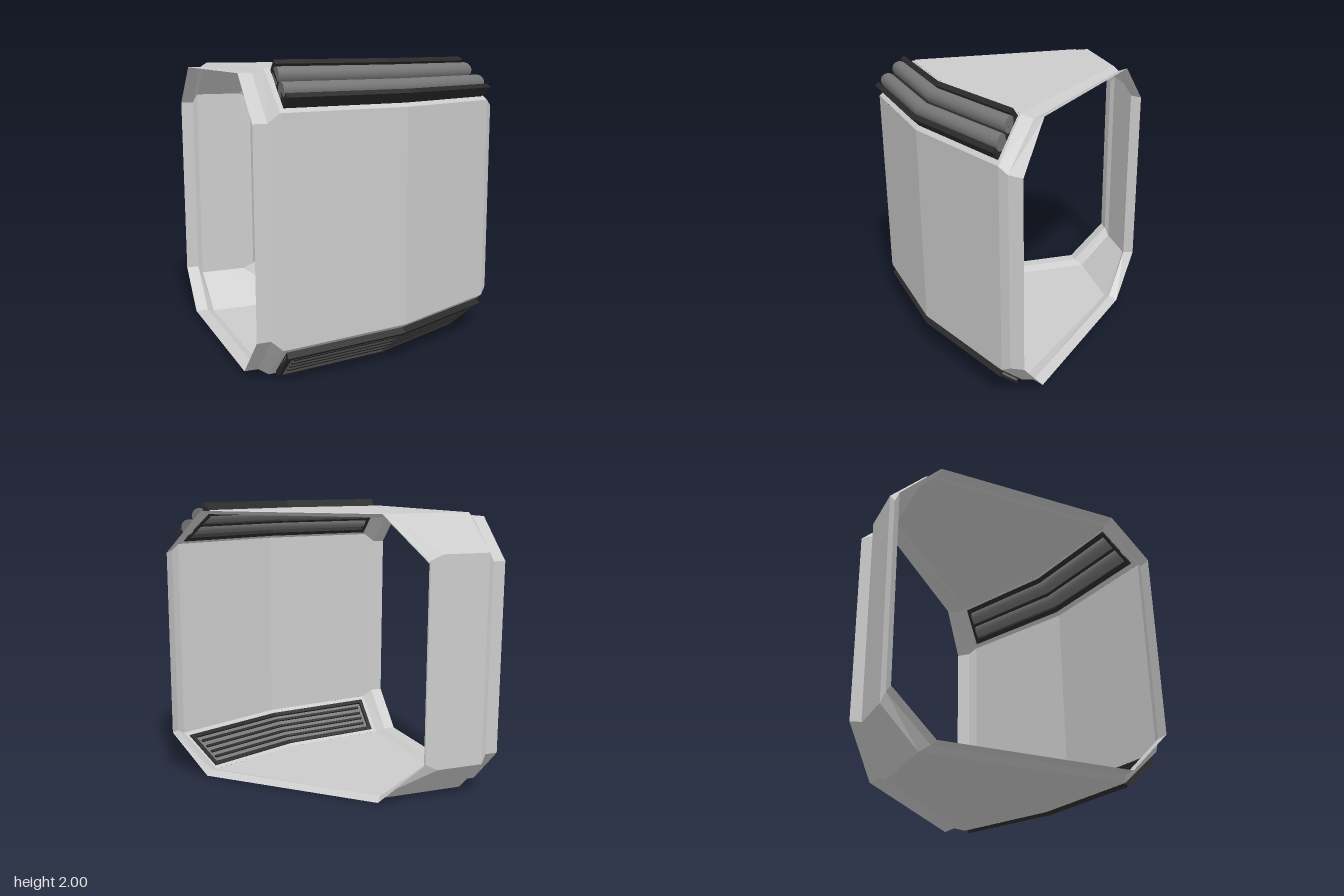
import * as THREE from 'three';
import { toCreasedNormals } from 'three/addons/utils/BufferGeometryUtils.js';

const MID = 0.98; // height of the horizontal symmetry plane

// Builds a mesh from a list of quads / triangles (arrays of Vector3)
function facesMesh(name, faces, color, crease = 0) {
  const pos = [];
  for (const f of faces)
    for (let i = 1; i < f.length - 1; i++)
      for (const p of [f[0], f[i], f[i + 1]]) pos.push(p.x, p.y, p.z);
  let geo = new THREE.BufferGeometry();
  geo.setAttribute('position', new THREE.Float32BufferAttribute(pos, 3));
  geo.computeVertexNormals();
  if (crease) geo = toCreasedNormals(geo, crease);
  const mat = new THREE.MeshStandardMaterial({ color, side: THREE.DoubleSide, flatShading: !crease });
  const mesh = new THREE.Mesh(geo, mat);
  mesh.name = name;
  return mesh;
}

// Octagonal sections: plan points [x, z] of the front wall, front roof edge,
// back roof edge and back wall, then half heights of roof and wall
const SECTIONS = [
  [[-1, 0.94], [-1, 0.66], [-1, -0.65], [-1, -0.93], 0.94, 0.66],
  [[-0.91, 0.94], [-0.91, 0.66], [-0.91, -0.65], [-0.91, -0.93], 0.94, 0.66],
  [[-0.84, 0.97], [-0.85, 0.7], [-0.85, -0.7], [-0.87, -0.95], 0.97, 0.72],
  [[0.06, 0.83], [-0.04, 0.58], [-0.56, -0.7], [-0.7, -0.95], 0.97, 0.72],
  [[0.88, 0.465], [0.68, 0.27], [-0.28, -0.7], [-0.53, -0.95], 0.97, 0.72],
  [[0.935, 0.42], [0.735, 0.205], [-0.22, -0.72], [-0.45, -0.925], 0.945, 0.68],
  [[0.99, 0.34], [0.78, 0.15], [-0.18, -0.77], [-0.405, -0.99], 0.97, 0.67],
];

function sectionLoop([f, ft, bt, b, roof, wall]) {
  const v = ([x, z], y) => new THREE.Vector3(x, MID + y, z);
  return [v(f, wall), v(ft, roof), v(bt, roof), v(b, wall),
    v(b, -wall), v(bt, -roof), v(ft, -roof), v(f, -wall)];
}

// Stations along the front bevel: wall edge, roof edge, outward direction
const STATIONS = [
  { f: [-0.81, 0.965], t: [-0.81, 0.695], n: [0, 1] },
  { f: [0.06, 0.83], t: [-0.04, 0.58], n: [0.27, 0.96] },
  { f: [0.86, 0.475], t: [0.665, 0.277], n: [0.725, 0.69] },
];

// Point on the front bevel: u along it (0..2), s from wall to roof, h outward
function bevelPoint(u, s, h, side) {
  const i = Math.min(1, Math.floor(u)), w = u - i;
  const at = (st) => new THREE.Vector3(
    st.f[0] + (st.t[0] - st.f[0]) * s + st.n[0] * h * 0.7,
    MID + side * (0.72 + 0.25 * s + h * 0.72),
    st.f[1] + (st.t[1] - st.f[1]) * s + st.n[1] * h * 0.7);
  return at(STATIONS[i]).lerp(at(STATIONS[i + 1]), w);
}

// Bar with an [s, h] cross-section swept along the bevel, with end caps
function bevelBar(name, profile, color, side, us = [0, 1, 2], crease = 0) {
  const rings = us.map((u) => profile.map(([s, h]) => bevelPoint(u, s, h, side)));
  const faces = [];
  const n = profile.length;
  for (let j = 0; j < rings.length - 1; j++)
    for (let k = 0; k < n; k++) {
      const k2 = (k + 1) % n;
      faces.push([rings[j][k], rings[j][k2], rings[j + 1][k2], rings[j + 1][k]]);
    }
  faces.push([...rings[0]].reverse(), rings[rings.length - 1]);
  if (side < 0) faces.forEach((f) => f.reverse());
  return facesMesh(name, faces, color, crease);
}

const rect = (s0, s1, h0, h1) => [[s0, h0], [s1, h0], [s1, h1], [s0, h1]];

function circle(s, h, r, sides = 14) {
  return Array.from({ length: sides }, (_, i) => {
    const a = (i / sides) * Math.PI * 2;
    return [s + (Math.cos(a) * r) / 0.36, h + Math.sin(a) * r];
  });
}

export function createModel() {
  const model = new THREE.Group();
  const GREY = 0xcccccc, DARK = 0x2a2a2a, STEEL = 0x777777;

  // Shell with its end collars; the front bevels are left out
  const loops = SECTIONS.map(sectionLoop);
  const shell = [];
  for (let j = 0; j < loops.length - 1; j++)
    for (let k = 0; k < 8; k++) {
      if ((j === 2 || j === 3) && (k === 0 || k === 6)) continue;
      const k2 = (k + 1) % 8;
      shell.push([loops[j][k], loops[j + 1][k], loops[j + 1][k2], loops[j][k2]]);
    }
  model.add(facesMesh('corridorShell', shell, GREY));

  // Front bevels, each with a long opening
  for (const side of [1, -1]) {
    const cuts = [0, 0.13, 0.9, 1];
    const edge = (sec) => cuts.map((s) => new THREE.Vector3(
      THREE.MathUtils.lerp(sec[0][0], sec[1][0], s),
      MID + side * (0.72 + 0.25 * s),
      THREE.MathUtils.lerp(sec[0][1], sec[1][1], s)));
    const rows = [edge(SECTIONS[2]),
      ...[0, 1, 2].map((u) => cuts.map((s) => bevelPoint(u, s, 0, side))),
      edge(SECTIONS[4])];
    const faces = [];
    for (let j = 0; j < 4; j++)
      for (let k = 0; k < 3; k++) {
        if (k === 1 && (j === 1 || j === 2)) continue;
        const q = [rows[j][k], rows[j + 1][k], rows[j + 1][k + 1], rows[j][k + 1]];
        faces.push(side > 0 ? q : q.reverse());
      }
    model.add(facesMesh(side > 0 ? 'upperBevel' : 'lowerBevel', faces, GREY));
  }

  // Upper fixture: dark rails with two pipes between them
  const upper = new THREE.Group();
  upper.name = 'upperPipeFixture';
  upper.add(bevelBar('outerRail', rect(0.1, 0.2, -0.01, 0.09), DARK, 1));
  upper.add(bevelBar('innerRail', rect(0.85, 0.95, -0.01, 0.089), DARK, 1));
  upper.add(bevelBar('divider', rect(0.5, 0.56, 0, 0.05), DARK, 1));
  for (const s of [0.36, 0.7])
    upper.add(bevelBar('pipe', circle(s, 0.045, 0.055), STEEL, 1, [0, 1, 2], 0.7));
  for (const us of [[0, 0.03], [1.97, 2]])
    upper.add(bevelBar('endBlock', rect(0.2, 0.85, -0.01, 0.045), DARK, 1, us));
  model.add(upper);

  // Lower fixture: framed grille with slats
  const lower = new THREE.Group();
  lower.name = 'lowerGrille';
  lower.add(bevelBar('outerRail', rect(0.1, 0.18, -0.01, 0.045), DARK, -1));
  lower.add(bevelBar('innerRail', rect(0.84, 0.92, -0.01, 0.042), DARK, -1));
  for (const us of [[0, 0.035], [1.965, 2]])
    lower.add(bevelBar('endBlock', rect(0.18, 0.84, -0.01, 0.042), DARK, -1, us));
  lower.add(bevelBar('grillePanel', rect(0.18, 0.84, 0.01, 0.025), STEEL, -1));
  for (const s of [0.29, 0.44, 0.58, 0.72])
    lower.add(bevelBar('slat', rect(s - 0.025, s + 0.025, -0.005, 0.038), DARK, -1, [0.07, 1, 1.92]));
  model.add(lower);

  return model;
}
